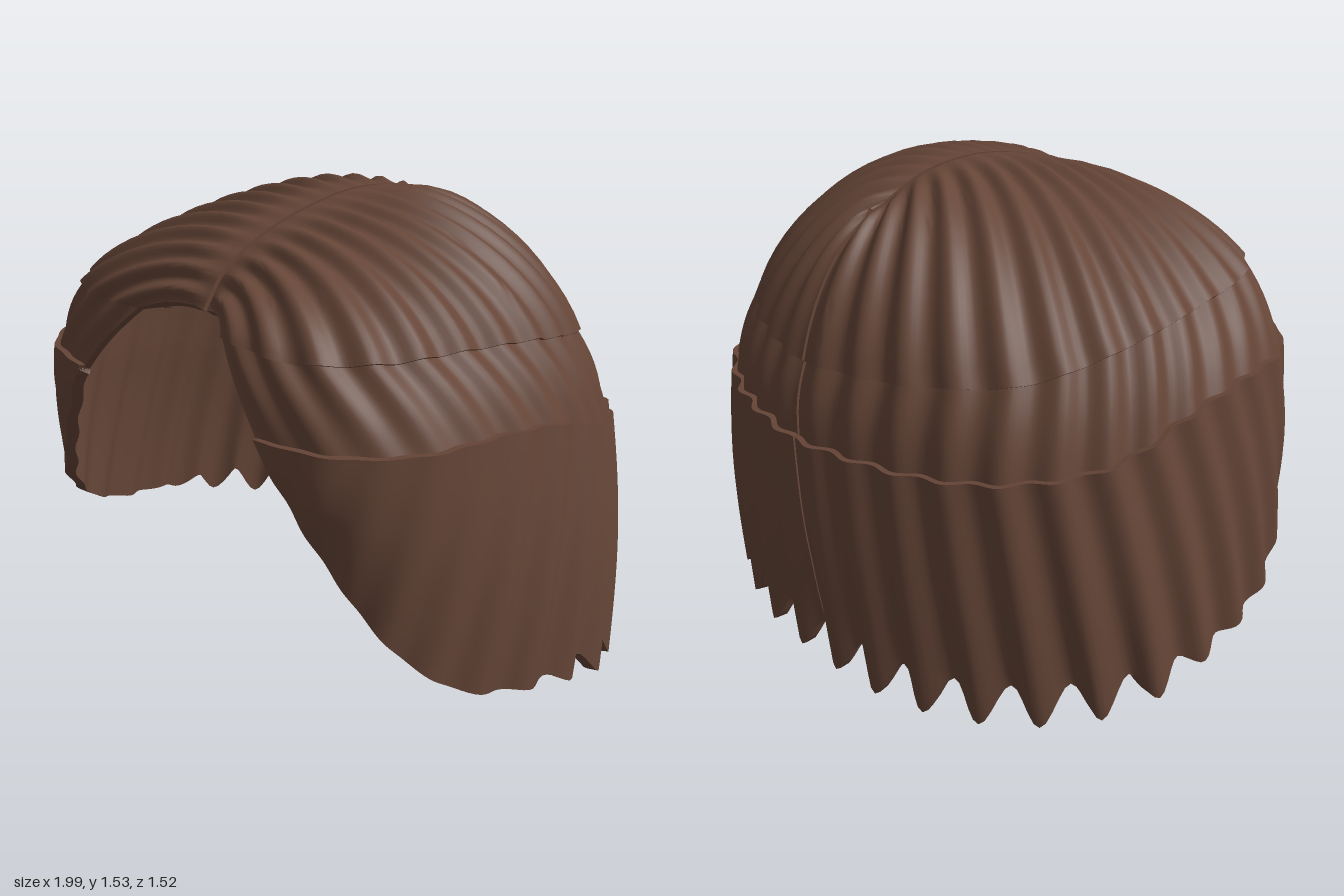
import * as THREE from 'three';
import { toCreasedNormals } from 'three/addons/utils/BufferGeometryUtils.js';

const RIDGES = 15;
const curve = (pts) => new THREE.CatmullRomCurve3(pts.map((p) => new THREE.Vector3(p[0], p[1], p[2])), false, 'centripetal');
const smooth = THREE.MathUtils.smoothstep;
const lerp = THREE.MathUtils.lerp;

// Guide curves for one half, each running from the face round to the back (x, y, z)
const parting = curve([[0.008, 1.265, 0.64], [0.008, 1.365, 0.565], [0.008, 1.455, 0.4], [0.008, 1.51, 0.2],
  [0.008, 1.53, 0.02], [0.008, 1.505, -0.18], [0.006, 1.42, -0.37]]);
const crownRim = curve([[0.2, 1.225, 0.69], [0.48, 1.215, 0.675], [0.66, 1.215, 0.51], [0.73, 1.205, 0.22], [0.75, 1.185, 0],
  [0.72, 1.145, -0.2], [0.62, 1.09, -0.41], [0.42, 1.06, -0.57], [0.22, 1.04, -0.64], [0.006, 1.03, -0.68]]);
const bandRim = curve([[0.42, 1, 0.755], [0.66, 1, 0.685], [0.82, 1, 0.5], [0.88, 1, 0.22], [0.89, 0.97, 0],
  [0.84, 0.88, -0.28], [0.67, 0.84, -0.52], [0.46, 0.82, -0.645], [0.22, 0.81, -0.715], [0.005, 0.8, -0.74]]);
const hem = curve([[0.43, 0.98, 0.755], [0.63, 0.68, 0.69], [0.8, 0.43, 0.59], [0.9, 0.28, 0.43], [0.955, 0.215, 0.22],
  [0.97, 0.185, 0.02], [0.935, 0.145, -0.2], [0.78, 0.115, -0.44], [0.54, 0.09, -0.605], [0.27, 0.075, -0.685], [0.003, 0.075, -0.7]]);

const wave = (u) => Math.cos(2 * Math.PI * RIDGES * u);
const nearBack = (u) => smooth(u, 0.6, 1);

// Strands rise from the off-centre parting and fan out over the top of the head
function crownPoint(u, v) {
  const a = parting.getPointAt(u), d = crownRim.getPointAt(u);
  const k = lerp(0.1, 0.45, u * u), dy = d.y - a.y, rise = 1 - smooth(u, 0.6, 1);
  const b = new THREE.Vector3(lerp(a.x, d.x, 0.45), a.y - 0.02 + 0.05 * rise, lerp(a.z, d.z, k));
  const c = new THREE.Vector3(lerp(a.x, d.x, 0.82), a.y + dy * lerp(0.5, 0.42, rise), lerp(a.z, d.z, 0.83));
  const p = new THREE.CubicBezierCurve3(a, b, c, d).getPoint(v);
  return { p, shift: lerp(0.085, 0.065 * nearBack(u), v) };
}

// Middle layer tucked under the crown
function bandPoint(u, v) {
  const w = lerp(-0.12, 1.08, v);
  const p = crownRim.getPointAt(u).lerp(bandRim.getPointAt(u), w);
  return { p, shift: lerp(0.065, 0.045, w) * nearBack(u) };
}

// Long layer ending in a pointed hem
function lengthPoint(u, v) {
  const p = bandRim.getPointAt(u).lerp(hem.getPointAt(u), v);
  p.y += 0.063 * wave(u) * smooth(u, 0.4, 0.65) * v * v;
  return { p, shift: 0.045 * Math.max(0, 1 - v * 1.6) * nearBack(u) };
}

// Closed shell: outer face, lower rim, inner face, upper rim and two end caps
function shell(fn, side, { nu = 150, nv = 14, thick, offset }) {
  const at = (u, v) => {
    const { p, shift } = fn(u, v);
    p.x = side * p.x + shift;
    return p;
  };
  const e = 0.004, pos = [], index = [], loop = 2 * (nv + 1);
  for (let i = 0; i <= nu; i++) {
    const u = i / nu, outer = [], inner = [];
    for (let j = 0; j <= nv; j++) {
      const v = j / nv;
      const du = at(Math.min(1, u + e), v).sub(at(Math.max(0, u - e), v));
      const dv = at(u, Math.min(1, v + e)).sub(at(u, Math.max(0, v - e)));
      const n = dv.cross(du).multiplyScalar(side).normalize();
      // keep the parting edges flat so the halves never meet
      if (u > 0.98) { n.x *= (1 - u) / 0.02; n.normalize(); }
      if (v < 0.1 && fn === crownPoint) { n.x *= v / 0.1; n.normalize(); }
      const p = at(u, v), h = offset(u, v);
      outer.push(p.clone().addScaledVector(n, h));
      inner.unshift(p.clone().addScaledVector(n, h - thick(v)));
    }
    for (const p of [...outer, ...inner]) pos.push(p.x, p.y, p.z);
  }
  const quad = (a, b, c, d) => (side > 0 ? index.push(a, b, d, b, c, d) : index.push(a, d, b, b, d, c));
  for (let i = 0; i < nu; i++) {
    for (let j = 0; j < loop; j++) {
      const k = (j + 1) % loop, r = i * loop, s = r + loop;
      quad(r + j, r + k, s + k, s + j);
    }
  }
  for (let j = 0; j < nv; j++) {
    const m = loop - 1 - j, s = nu * loop;
    quad(m, m - 1, j + 1, j);
    quad(s + j, s + j + 1, s + m - 1, s + m);
  }
  const g = new THREE.BufferGeometry();
  g.setAttribute('position', new THREE.Float32BufferAttribute(pos, 3));
  g.setIndex(index);
  return toCreasedNormals(g, 0.8);
}

export function createModel() {
  const group = new THREE.Group();
  group.name = 'wig';
  const hair = new THREE.MeshStandardMaterial({ color: 0x654537, side: THREE.DoubleSide });
  hair.name = 'brown hair';

  // The locks beside the face are smoother than the strands at the back
  const ridge = (u) => wave(u) * lerp(0.25, 1, smooth(u, 0.1, 0.55));
  const layers = [
    ['Crown', crownPoint, {
      thick: (v) => 0.03 - 0.012 * smooth(v, 0.6, 1),
      offset: (u, v) => 0.005 - 0.013 * wave(u) * smooth(v, 0, 0.2),
    }],
    ['Band', bandPoint, {
      nv: 8,
      thick: () => 0.02,
      offset: (u, v) => -0.01 - 0.012 * lerp(wave(u), ridge(u), v) + 0.02 * Math.sin(Math.PI * v) - 0.006 * v,
    }],
    ['Length', lengthPoint, {
      thick: (v) => 0.025 + 0.013 * smooth(v, 0, 0.3),
      offset: (u, v) => 0.008 - lerp(0.012, 0.019, v) * ridge(u) + 0.022 * Math.sin(Math.PI * v) * smooth(u, 0, 0.15),
    }],
  ];
  for (const [label, fn, options] of layers) {
    for (const side of [1, -1]) {
      const mesh = new THREE.Mesh(shell(fn, side, options), hair);
      mesh.name = (side > 0 ? 'left' : 'right') + label;
      group.add(mesh);
    }
  }
  return group;
}
